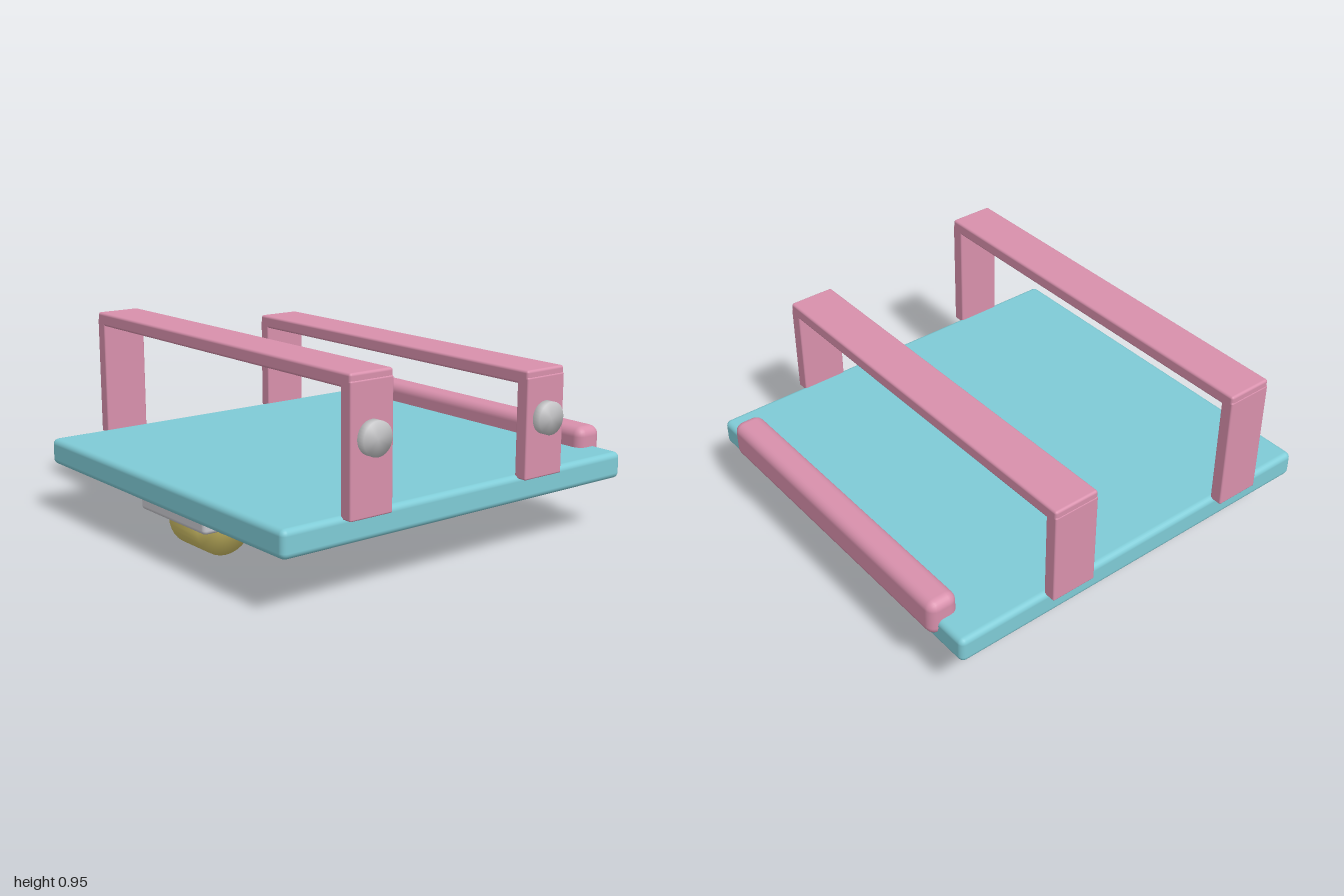
import * as THREE from 'three';
import { mergeVertices } from 'three/addons/utils/BufferGeometryUtils.js';
import { RoundedBoxGeometry } from 'three/addons/geometries/RoundedBoxGeometry.js';

const material = (name, color) => {
  const m = new THREE.MeshStandardMaterial({ color });
  m.name = name;
  return m;
};

export function createModel() {
  const model = new THREE.Group();
  model.name = 'rollerBoard';
  const blue = material('aquaBlue', 0x7fcbd6);
  const pink = material('dustyPink', 0xd890ac);
  const grey = material('lightGrey', 0xc8c8ce);
  const metal = material('metalGrey', 0xc4c4c6);
  const yellow = material('mustardYellow', 0xcfbf66);

  function add(parent, name, geometry, mat, x, y, z) {
    const mesh = new THREE.Mesh(geometry, mat);
    mesh.name = name;
    mesh.position.set(x, y, z);
    parent.add(mesh);
  }

  // Rounded block given by its limits on each axis
  function block(parent, name, mat, [x0, x1], [y0, y1], [z0, z1], radius) {
    const g = new RoundedBoxGeometry(x1 - x0, y1 - y0, z1 - z0, 3, radius);
    add(parent, name, g, mat, (x0 + x1) / 2, (y0 + y1) / 2, (z0 + z1) / 2);
  }

  // Disc along x, with normals blended softly over the rim
  function disc(parent, name, mat, [x0, x1], y, z, radius) {
    let g = new THREE.CylinderGeometry(radius, radius, x1 - x0, 32);
    g.deleteAttribute('normal');
    g.deleteAttribute('uv');
    g = mergeVertices(g);
    g.computeVertexNormals();
    g.rotateZ(-Math.PI / 2);
    add(parent, name, g, mat, (x0 + x1) / 2, y, z);
  }

  // Deck, heel stop and wheel rail
  block(model, 'deck', blue, [-0.96, 0.92], [0.25, 0.375], [-0.96, 0.99], 0.028);
  block(model, 'heelStop', pink, [-0.805, 0.765], [0.29, 0.47], [-0.995, -0.85], 0.045);
  block(model, 'wheelRail', grey, [-0.28, 0.24], [0.165, 0.27], [-0.865, 0.905], 0.02);

  // Straps: two posts, a crossbar and a button on the left side
  const straps = [
    { name: 'frontStrap', z: [0.47, 0.69], top: 0.955, buttonY: 0.69 },
    { name: 'rearStrap', z: [-0.51, -0.285], top: 0.845, buttonY: 0.63 },
  ];
  for (const { name, z, top, buttonY } of straps) {
    const strap = new THREE.Group();
    strap.name = name;
    model.add(strap);
    block(strap, 'rightPost', pink, [-1, -0.938], [0.36, top - 0.03], z, 0.008);
    block(strap, 'leftPost', pink, [0.895, 0.96], [0.36, top - 0.03], z, 0.008);
    block(strap, 'crossbar', pink, [-0.998, 0.957], [top - 0.063, top], z, 0.012);
    disc(strap, 'button', metal, [0.94, 1], buttonY, (z[0] + z[1]) / 2 + 0.003, 0.074);
  }

  // Row of wheels with axles
  for (const z of [0.695, 0.245, -0.207, -0.66]) {
    const wheel = new THREE.Group();
    wheel.name = 'wheelSet';
    model.add(wheel);
    disc(wheel, 'wheel', yellow, [-0.135, 0.09], 0.152, z, 0.152);
    disc(wheel, 'axle', metal, [-0.142, 0.1], 0.152, z, 0.054);
  }
  return model;
}
